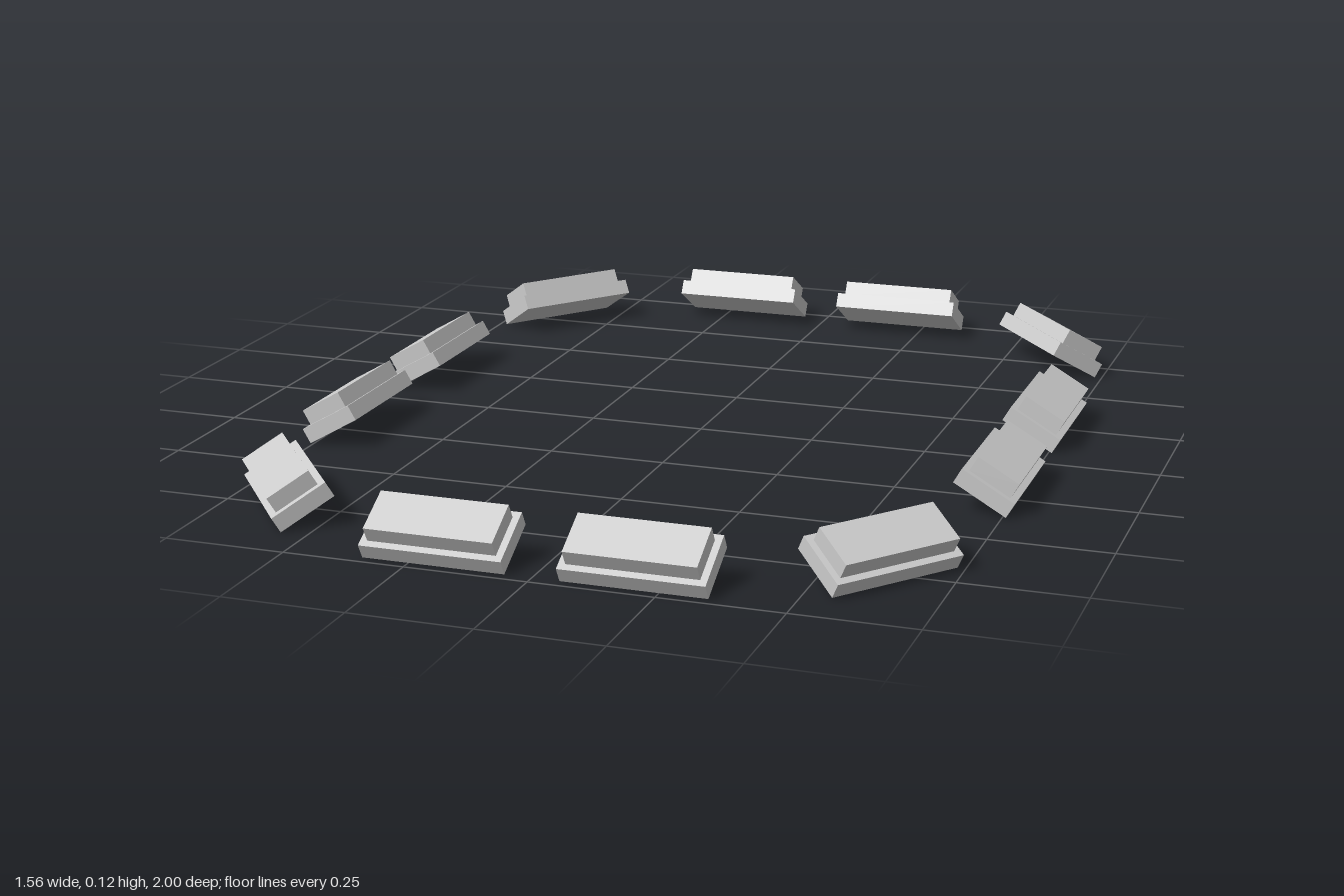
import * as THREE from 'three';

const material = new THREE.MeshStandardMaterial({ color: 0xcccccc, flatShading: true });

const THICK = 0.0345;   // thickness of each slab
const LENGTH = 0.29;    // base slab length
const DEPTH = 0.125;    // base slab depth
const INSET = 0.014;    // step from base slab to top slab
const TILT = Math.PI / 6;

function slab(name, inset, level) {
  const mesh = new THREE.Mesh(
    new THREE.BoxGeometry(LENGTH - 2 * inset, THICK, DEPTH - 2 * inset), material);
  mesh.name = name;
  mesh.position.set(0, (level + 0.5) * THICK, -DEPTH / 2);
  return mesh;
}

// Stepped block resting on its outer bottom edge, leaning outward
function block(name, x, z, yaw) {
  const group = new THREE.Group();
  group.name = name;
  group.add(slab('baseSlab', 0, 0), slab('topSlab', INSET, 1));
  group.position.set(x, 0, z);
  group.rotation.set(TILT, yaw, 0, 'YXZ');
  return group;
}

export function createModel() {
  const model = new THREE.Group();
  model.name = 'blockRing';

  // One quadrant: position of the outer bottom edge and its outward direction
  const quadrant = [
    ['endBlock', 0.2, 0.977, 0],
    ['cornerBlock', 0.645, 0.785, THREE.MathUtils.degToRad(52)],
    ['sideBlock', 0.757, 0.22, Math.PI / 2],
  ];

  // Mirror the quadrant to all four sides
  for (const sx of [1, -1]) {
    for (const sz of [1, -1]) {
      for (const [name, x, z, yaw] of quadrant) {
        const turn = Math.atan2(sx * Math.sin(yaw), sz * Math.cos(yaw));
        model.add(block(name, sx * x, sz * z, turn));
      }
    }
  }
  return model;
}
